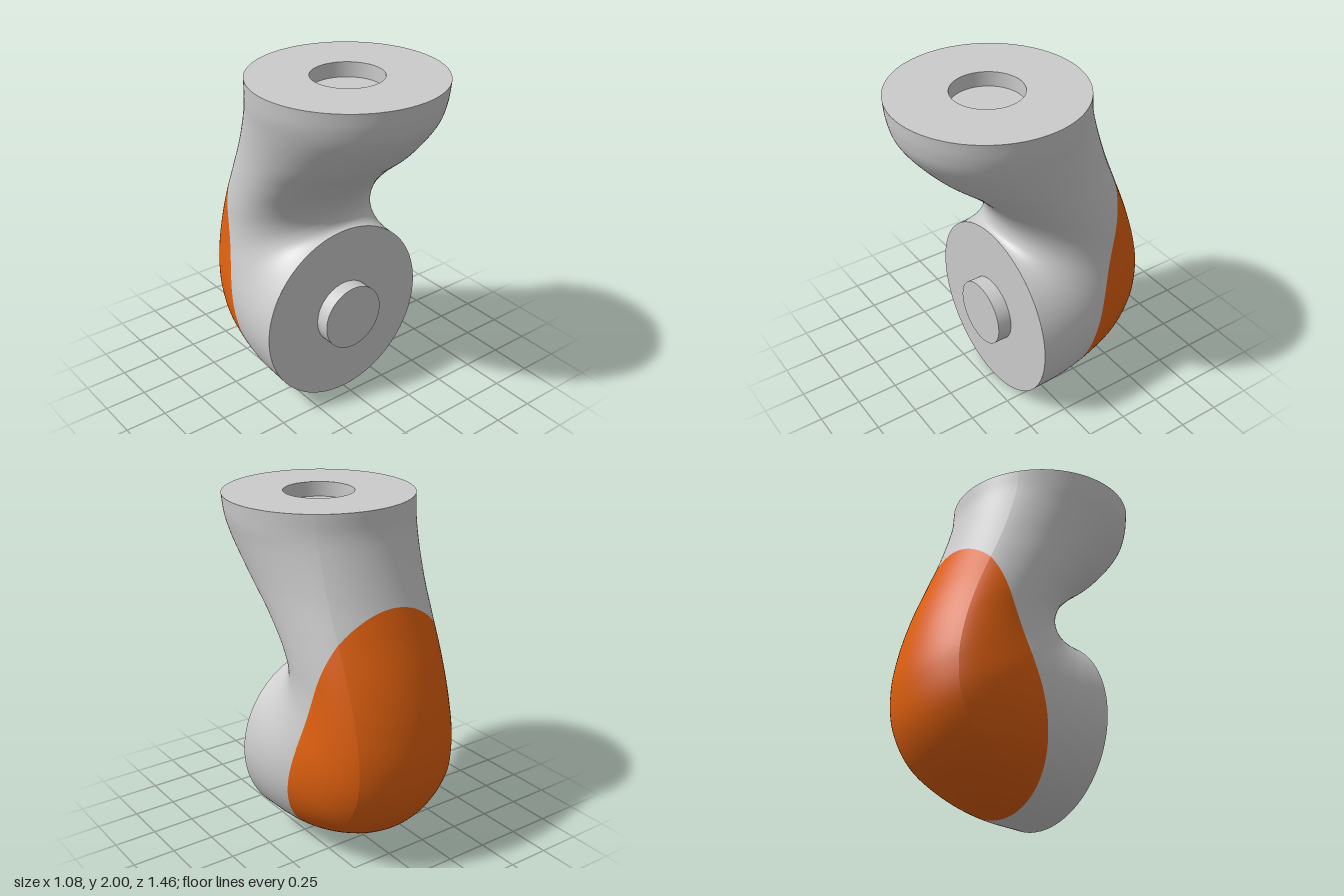
import * as THREE from 'three';

const R = 0.54;                         // radius of both flange circles
const CORNER = Math.asin(0.32 / R);     // half angle of the rounded back strip
const grey = new THREE.MeshStandardMaterial({ color: 0xcccccc });
const orange = new THREE.MeshStandardMaterial({ color: 0xe0600f });

// Stations down the bend: inner z, inner y, outer z, outer y, half width
const stations = [
  [0.73, 2.0, -0.35, 2.0, 0.54],
  [0.72, 1.9, -0.36, 1.88, 0.53],
  [0.69, 1.8, -0.387, 1.77, 0.51],
  [0.53, 1.6, -0.46, 1.55, 0.472],
  [0.36, 1.455, -0.54, 1.35, 0.452],
  [0.21, 1.3, -0.63, 1.12, 0.44],
  [0.16, 1.21, -0.697, 0.88, 0.437],
  [0.148, 1.16, -0.725, 0.65, 0.45],
  [0.148, 1.13, -0.69, 0.42, 0.475],
  [0.152, 1.11, -0.56, 0.22, 0.5],
  [0.16, 1.095, -0.35, 0.095, 0.52],
  [0.172, 1.085, -0.1, 0.022, 0.535],
  [0.185, 1.08, 0.185, 0.0, 0.54],
];
const inner = new THREE.CatmullRomCurve3(stations.map(s => new THREE.Vector3(s[4], s[1], s[0])));
const outer = new THREE.CatmullRomCurve3(stations.map(s => new THREE.Vector3(0, s[3], s[2])));

// Point on the skin: t runs along the bend, angle runs round the section from the back
function skinPoint(t, angle) {
  const i = inner.getPoint(t), o = outer.getPoint(t), width = i.x;
  i.x = 0;
  const dir = i.clone().sub(o), length = dir.length();
  dir.normalize();
  const c = Math.cos(angle), s = Math.sin(angle), cc = Math.cos(CORNER);
  let depth = R * (1 - c), x = R * s;
  if (angle > CORNER) {
    const start = R * (1 - cc);
    depth = start + (length - start) * (cc - c) / (cc + 1);
    const edge = R * Math.sin(CORNER);
    x = c > 0
      ? Math.sign(s) * (edge + (width - edge) * (Math.abs(x) - edge) / (R - edge))
      : width * s;
  }
  return o.addScaledVector(dir, depth).setX(x);
}

// Smooth grid patch between two angles
function patch(from, to, cols, rows = 120) {
  const pos = [], index = [];
  for (let r = 0; r <= rows; r++) {
    for (let c = 0; c <= cols; c++) {
      const a = from + (to - from) * c / cols;
      pos.push(...skinPoint(r / rows, a).toArray());
      if (r < rows && c < cols) {
        const k = r * (cols + 1) + c, n = k + cols + 1;
        index.push(k, k + 1, n, k + 1, n + 1, n);
      }
    }
  }
  const g = new THREE.BufferGeometry();
  g.setAttribute('position', new THREE.Float32BufferAttribute(pos, 3));
  g.setIndex(index);
  g.computeVertexNormals();
  return g.toNonIndexed();
}

// Signed distance from the slanted seam plane, positive behind it
const seam = v => -0.966 * (v[2] + 0.48) - 0.258 * (v[1] - 1.5);

// Keep the part of the patches on one side of the seam
function clip(patches, side) {
  const pos = [], nor = [];
  for (const g of patches) {
    const p = g.attributes.position.array, n = g.attributes.normal.array;
    for (let i = 0; i < p.length; i += 9) {
      const tri = [0, 3, 6].map(k => [...p.slice(i + k, i + k + 3), ...n.slice(i + k, i + k + 3)]);
      const poly = [];
      tri.forEach((a, k) => {
        const b = tri[(k + 1) % 3], da = side * seam(a), db = side * seam(b);
        if (da >= 0) poly.push(a);
        if (da * db < 0) poly.push(a.map((v, m) => v + (b[m] - v) * da / (da - db)));
      });
      for (let k = 1; k + 1 < poly.length; k++) {
        for (const v of [poly[0], poly[k], poly[k + 1]]) {
          pos.push(...v.slice(0, 3));
          nor.push(...v.slice(3));
        }
      }
    }
  }
  const g = new THREE.BufferGeometry();
  g.setAttribute('position', new THREE.Float32BufferAttribute(pos, 3));
  g.setAttribute('normal', new THREE.Float32BufferAttribute(nor, 3));
  return g;
}

export function createModel() {
  const group = new THREE.Group();
  const add = (name, geometry, material = grey) => {
    const mesh = new THREE.Mesh(geometry, material);
    mesh.name = name;
    group.add(mesh);
  };

  // Bent housing and its coloured back cover, split at the seam
  const patches = [
    patch(-CORNER, CORNER, 28),
    patch(CORNER, 2 * Math.PI - CORNER, 100),
  ];
  add('housing', clip(patches, -1));
  add('backCover', clip(patches, 1), orange);

  // Top flange with a round recess
  const zTop = 0.19, hole = 0.2, depth = 0.085;
  const wall = grey.clone();
  wall.side = THREE.BackSide;
  add('topFlange', new THREE.RingGeometry(hole, R, 96).rotateX(-Math.PI / 2).translate(0, 2, zTop));
  add('recessWall', new THREE.CylinderGeometry(hole, hole, depth, 64, 1, true)
    .translate(0, 2 - depth / 2, zTop), wall);
  add('recessFloor', new THREE.CircleGeometry(hole, 64).rotateX(-Math.PI / 2)
    .translate(0, 2 - depth, zTop));

  // Front flange with a round peg
  add('frontFlange', new THREE.CircleGeometry(R, 96).translate(0, R, 0.185));
  add('frontPeg', new THREE.CylinderGeometry(0.198, 0.198, depth, 64).rotateX(Math.PI / 2)
    .translate(0, R, 0.185 + depth / 2));

  return group;
}
